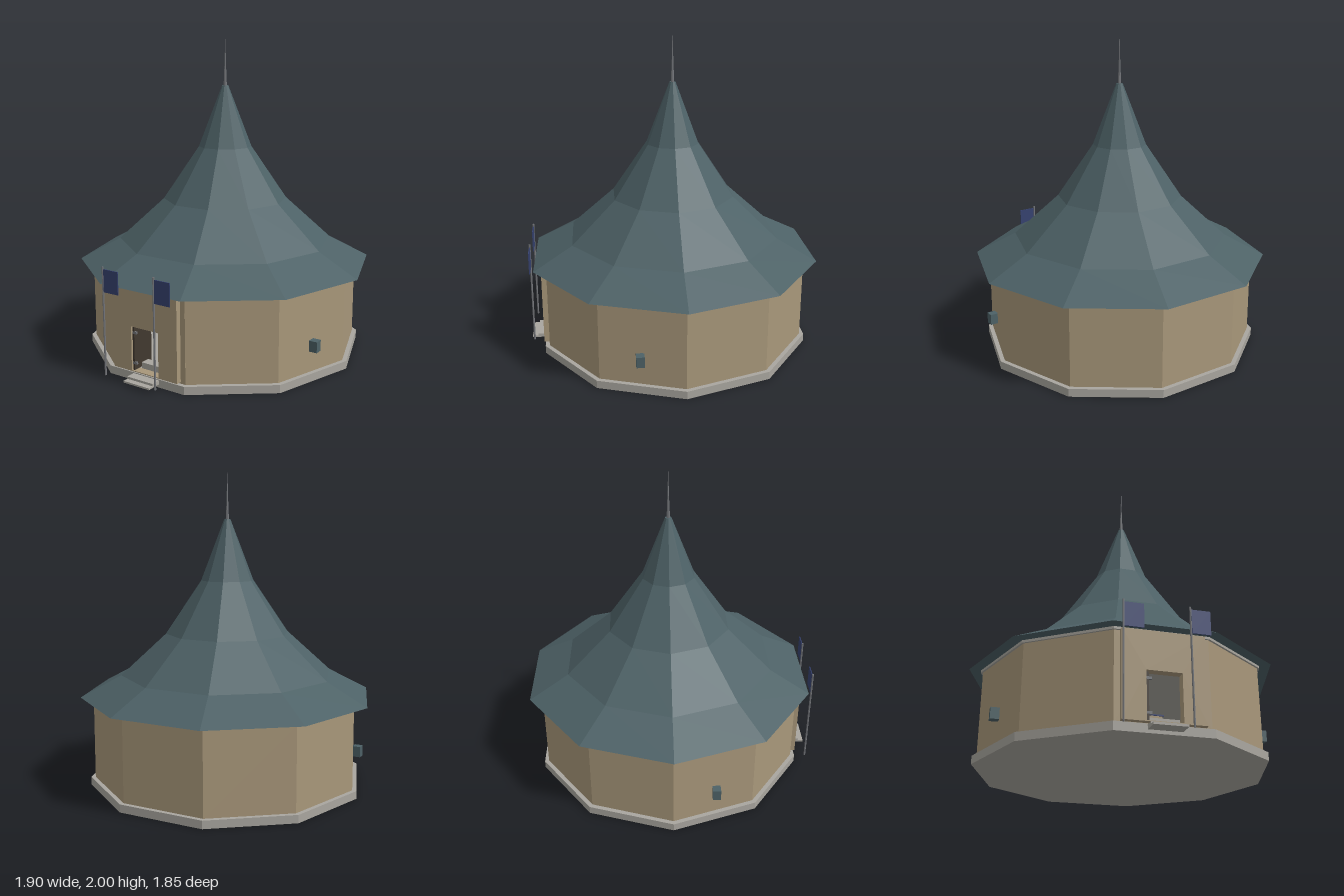
import * as THREE from 'three';

const SIDES = 10, START = Math.PI / 10, CZ = -0.02;

function mat(name, color, side = THREE.FrontSide) {
  const m = new THREE.MeshStandardMaterial({ color, side, flatShading: true });
  m.name = name;
  return m;
}

export function createModel() {
  const group = new THREE.Group();
  const wall = mat('tan plaster', 0xa8977a, THREE.DoubleSide);
  const roofMat = mat('slate teal', 0x4d6166, THREE.DoubleSide);
  const stone = mat('pale stone', 0xa9a69f);
  const metal = mat('grey metal', 0x74767a);
  const cloth = mat('navy cloth', 0x364270);
  const wood = mat('dark wood', 0x40382f);

  const add = (name, geo, material, x = 0, y = 0, z = 0) => {
    const m = new THREE.Mesh(geo, material);
    m.name = name;
    m.position.set(x, y, z);
    group.add(m);
    return m;
  };
  const box = (name, w, h, d, material, x, y, z) =>
    add(name, new THREE.BoxGeometry(w, h, d), material, x, y, z);
  // Ten-sided slab with a flat face to the front
  const slab = (name, r, y0, y1, material) =>
    add(name, new THREE.CylinderGeometry(r, r, y1 - y0, SIDES, 1, false, START), material, 0, (y0 + y1) / 2, CZ);

  // Base and cornice
  slab('base', 0.895, 0, 0.05, stone);
  slab('cornice', 0.88, 0.565, 0.582, stone);

  // Nine closed wall faces, leaving the front open for the door wall
  add('walls', new THREE.CylinderGeometry(0.867, 0.867, 0.52, 9, 1, true, START, Math.PI * 1.8), wall, 0, 0.31, CZ);

  // Front wall and raised entrance panel, both with the doorway cut out
  const doorWall = (name, half, y0, y1, z, depth) => {
    const s = new THREE.Shape();
    s.moveTo(-half, y0).lineTo(half, y0).lineTo(half, y1).lineTo(-half, y1).closePath();
    const h = new THREE.Path();
    h.moveTo(-0.1, 0.065).lineTo(-0.1, 0.34).lineTo(0.1, 0.34).lineTo(0.1, 0.065).closePath();
    s.holes.push(h);
    add(name, new THREE.ExtrudeGeometry(s, { depth, bevelEnabled: false }), wall, 0, 0, z);
  };
  doorWall('frontWall', 0.268, 0.05, 0.57, 0.785, 0.02);
  doorWall('entrancePanel', 0.235, 0.06, 0.568, 0.805, 0.035);

  // Sweeping tent roof with a closed underside
  const profile = [[0.8, 0.58], [0.95, 0.58], [0.69, 0.717], [0.4, 0.98], [0.17, 1.32], [0.02, 1.71], [0, 1.71]]
    .map(([r, y]) => new THREE.Vector2(r, y));
  add('roof', new THREE.LatheGeometry(profile, SIDES, START), roofMat, 0, 0, CZ);

  // Finial
  add('finialBase', new THREE.CylinderGeometry(0.005, 0.011, 0.14, 8), metal, 0, 1.775, CZ);
  add('finialTip', new THREE.CylinderGeometry(0.001, 0.005, 0.155, 8), metal, 0, 1.9225, CZ);

  // Open door leaf, hinges, threshold and counter inside
  box('doorLeaf', 0.012, 0.27, 0.16, wood, -0.091, 0.2, 0.75);
  for (const y of [0.11, 0.3]) box('hinge', 0.03, 0.015, 0.012, metal, -0.083, y, 0.825);
  box('threshold', 0.17, 0.05, 0.06, stone, 0.012, 0.075, 0.75);
  box('counter', 0.1, 0.11, 0.08, wall, 0, 0.105, 0.6);
  box('counterTop', 0.11, 0.008, 0.09, cloth, 0, 0.164, 0.6);

  // Entrance steps
  box('upperStep', 0.19, 0.015, 0.07, stone, 0, 0.037, 0.855);
  box('lowerStep', 0.19, 0.011, 0.1, stone, 0, 0.025, 0.875);

  // Flagpoles with hanging flags
  for (const x of [-0.245, 0.13]) {
    add('flagpole', new THREE.CylinderGeometry(0.006, 0.006, 0.675, 8), metal, x, 0.3625, 0.91);
    box('flag', 0.108, 0.14, 0.006, cloth, x + 0.06, 0.615, 0.91);
  }

  // Side lanterns
  for (const s of [-1, 1]) {
    box('lantern', 0.052, 0.068, 0.05, roofMat, s * 0.81, 0.222, 0.248);
  }
  return group;
}
